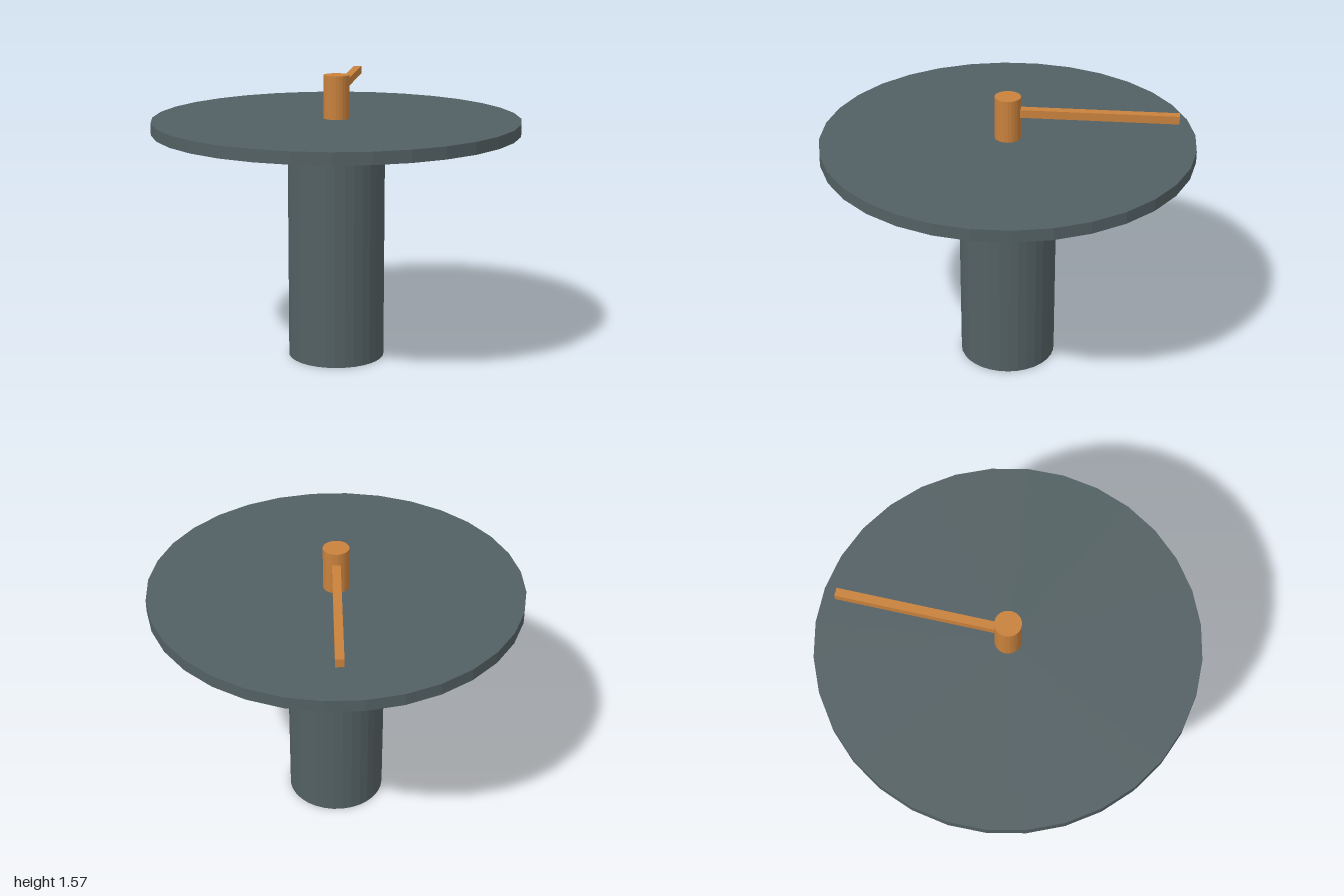
import * as THREE from 'three';

export function createModel() {
  const group = new THREE.Group();
  const material = (name, color) => {
    const m = new THREE.MeshStandardMaterial({ color, flatShading: true });
    m.name = name;
    return m;
  };
  const slate = material('slate grey', 0x536063);
  const steel = material('blue steel', 0x4c5d66);
  const pale = material('pale metal', 0xd2cfc4);
  const copper = material('copper', 0xc8813c);

  const add = (name, geometry, mat) => {
    const mesh = new THREE.Mesh(geometry, mat);
    mesh.name = name;
    group.add(mesh);
    return mesh;
  };
  // Upright round part spanning two heights
  const round = (name, radius, bottom, top, mat, sides = 32) => {
    const mesh = add(name, new THREE.CylinderGeometry(radius, radius, top - bottom, sides), mat);
    mesh.position.y = (bottom + top) / 2;
    return mesh;
  };

  // Pedestal, neck and turntable
  round('column', 0.265, 0, 1.2, slate);
  round('lowerNeck', 0.192, 1.2, 1.24, slate);
  round('upperNeck', 0.19, 1.24, 1.27, steel);
  round('disc', 1, 1.27, 1.335, slate);

  // Thin bearing ring around the neck
  const ring = add('bearingRing', new THREE.TorusGeometry(0.19, 0.008, 8, 32), pale);
  ring.rotation.x = Math.PI / 2;
  ring.position.y = 1.242;

  // Centre post with its pointer arm
  round('post', 0.07, 1.335, 1.57, copper, 24);
  const angle = Math.atan2(0.555, 0.707);
  const start = 0.06, end = 0.9;
  const arm = add('pointerArm', new THREE.BoxGeometry(end - start, 0.044, 0.045), copper);
  const middle = (start + end) / 2;
  arm.position.set(middle * Math.cos(angle), 1.483, -middle * Math.sin(angle));
  arm.rotation.y = angle;

  return group;
}
